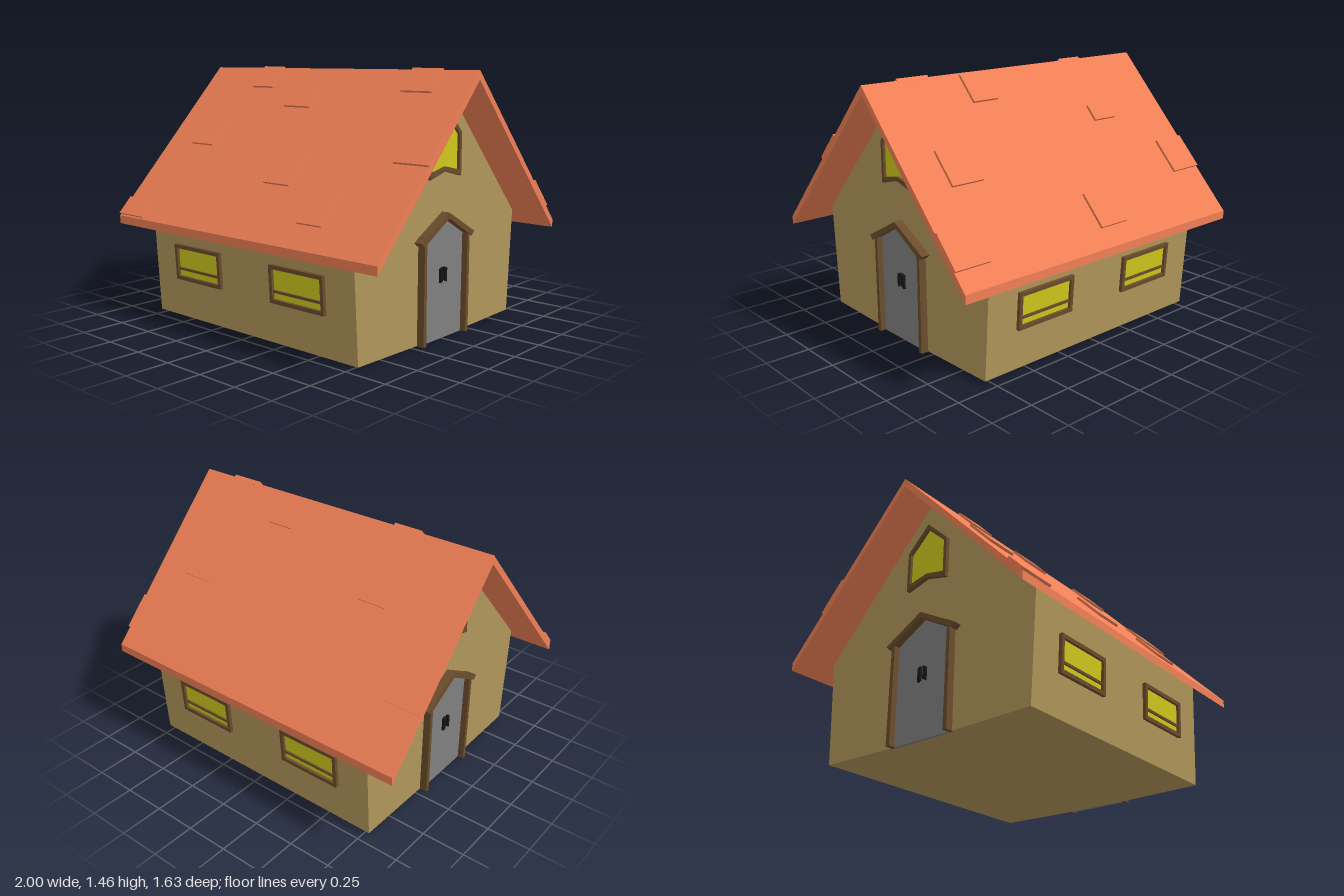
import * as THREE from 'three';

const paint = (color) => new THREE.MeshStandardMaterial({ color, flatShading: true });

export function createModel() {
  const house = new THREE.Group();
  house.name = 'cottage';
  const wall = paint(0xb0965a), tile = paint(0xf07f55), timber = paint(0x6b4c2c);
  const glass = paint(0xd0c81c), grey = paint(0x808080), black = paint(0x151515);

  const add = (parent, name, geometry, material) => {
    const mesh = new THREE.Mesh(geometry, material);
    mesh.name = name;
    parent.add(mesh);
    return mesh;
  };
  const group = (parent, name) => {
    const g = new THREE.Group();
    g.name = name;
    parent.add(g);
    return g;
  };
  // Flat outline pushed from z0 to z1, with an optional hole
  const slab = (points, z0, z1, hole) => {
    const toVec = (list) => list.map(([x, y]) => new THREE.Vector2(x, y));
    const shape = new THREE.Shape(toVec(points));
    if (hole) shape.holes.push(new THREE.Path(toVec(hole)));
    return new THREE.ExtrudeGeometry(shape, { depth: z1 - z0, bevelEnabled: false }).translate(0, 0, z0);
  };
  const rect = (x0, y0, x1, y1) => [[x0, y0], [x1, y0], [x1, y1], [x0, y1]];

  // Walls: leaning sides and pointed gables in one block
  const body = slab([[-0.69, 0.012], [0, 0], [0.69, 0.012], [0.727, 0.62], [0, 1.405], [-0.727, 0.62]], -0.78, 0.78);
  add(house, 'walls', body.rotateY(Math.PI / 2), wall);

  // Roof: folded slab with plumb-cut eaves
  const ridge = 1.455, eave = 0.815, drop = 0.877, thick = 0.048;
  const roof = slab([
    [-eave, ridge - drop], [-eave, ridge - drop - thick], [0, ridge - thick],
    [eave, ridge - drop - thick], [eave, ridge - drop], [0, ridge],
  ], -1, 1);
  add(house, 'roof', roof.rotateY(Math.PI / 2), tile);

  // Raised shingles: x range, then horizontal distance range from the ridge
  const pitch = Math.atan(drop / eave);
  const shingles = {
    front: [
      [-0.565, -0.395, 0, 0.12], [-0.2, 0, 0.12, 0.215], [0.58, 0.78, 0, 0.12],
      [-0.78, -0.59, 0.285, 0.435], [0.78, 1, 0.285, 0.435], [0, 0.195, 0.43, 0.58],
      [0.39, 0.56, 0.575, 0.725], [-1, -0.78, 0.725, 0.818],
    ],
    back: [
      [-1, -0.78, 0.445, 0.605], [-0.565, -0.395, 0.23, 0.31], [-0.2, 0, 0.59, 0.745],
      [0.215, 0.385, 0.01, 0.145], [0.58, 0.78, 0.3, 0.455], [0.78, 1, 0.59, 0.745],
    ],
  };
  for (const [name, list] of Object.entries(shingles)) {
    const side = name === 'front' ? 1 : -1;
    const slope = group(house, name + 'Shingles');
    slope.position.y = ridge;
    slope.rotation.x = side * pitch;
    for (const [x0, x1, d0, d1] of list) {
      const s0 = d0 / Math.cos(pitch), s1 = (d1 - 0.01) / Math.cos(pitch);
      const shingle = add(slope, 'shingle', new THREE.BoxGeometry(x1 - x0, 0.024, s1 - s0), tile);
      shingle.position.set((x0 + x1) / 2, 0.002, side * (s0 + s1) / 2);
    }
  }

  // Two windows in each long wall, tilted with the lean of the wall
  for (const side of [1, -1]) {
    const long = group(house, side > 0 ? 'frontWindows' : 'backWindows');
    long.rotation.y = side > 0 ? 0 : Math.PI;
    for (const x of [-0.39, 0.39]) {
      const win = group(long, 'sideWindow');
      win.position.set(x, 0.345, 0.709);
      win.rotation.x = Math.atan(0.037 / 0.608);
      const inner = rect(-0.172, -0.083, 0.172, 0.083);
      add(win, 'windowFrame', slab(rect(-0.193, -0.105, 0.193, 0.105), -0.01, 0.021, inner), timber);
      add(win, 'windowPane', slab(inner, -0.01, 0.005), glass);
      add(win, 'windowBar', slab(rect(-0.172, -0.047, 0.172, -0.033), 0, 0.015), timber);
    }
  }

  // Door and pointed window on each gable end
  for (const side of [1, -1]) {
    const end = group(house, side > 0 ? 'leftGable' : 'rightGable');
    end.rotation.y = side * Math.PI / 2;

    add(end, 'door', slab([[-0.185, 0], [0.185, 0], [0.19, 0.575], [0, 0.675], [-0.19, 0.575]], 0.77, 0.788), grey);
    for (const s of [-1, 1]) {
      const post = [[s * 0.183, 0.002], [s * 0.208, 0.002], [s * 0.208, 0.59], [s * 0.188, 0.6]];
      add(end, 'doorPost', slab(post, 0.77, 0.823), timber);
      const handle = [[s * 0.009, 0.325], [s * 0.027, 0.315], [s * 0.027, 0.392], [s * 0.009, 0.4]];
      add(end, 'doorHandle', slab(handle, 0.78, 0.803), black);
    }
    add(end, 'doorLintel', slab([
      [-0.243, 0.568], [-0.22, 0.545], [0, 0.67], [0.22, 0.545], [0.243, 0.568], [0, 0.702],
    ], 0.77, 0.83), timber);

    const pane = [[-0.123, 0.92], [0, 0.946], [0.123, 0.92], [0.123, 1.112], [0, 1.228], [-0.123, 1.112]];
    const rim = [[-0.142, 0.885], [0, 0.922], [0.142, 0.885], [0.142, 1.123], [0, 1.262], [-0.142, 1.123]];
    add(end, 'gableWindowFrame', slab(rim, 0.77, 0.803, pane), timber);
    add(end, 'gableWindowPane', slab(pane, 0.77, 0.787), glass);
  }
  return house;
}
